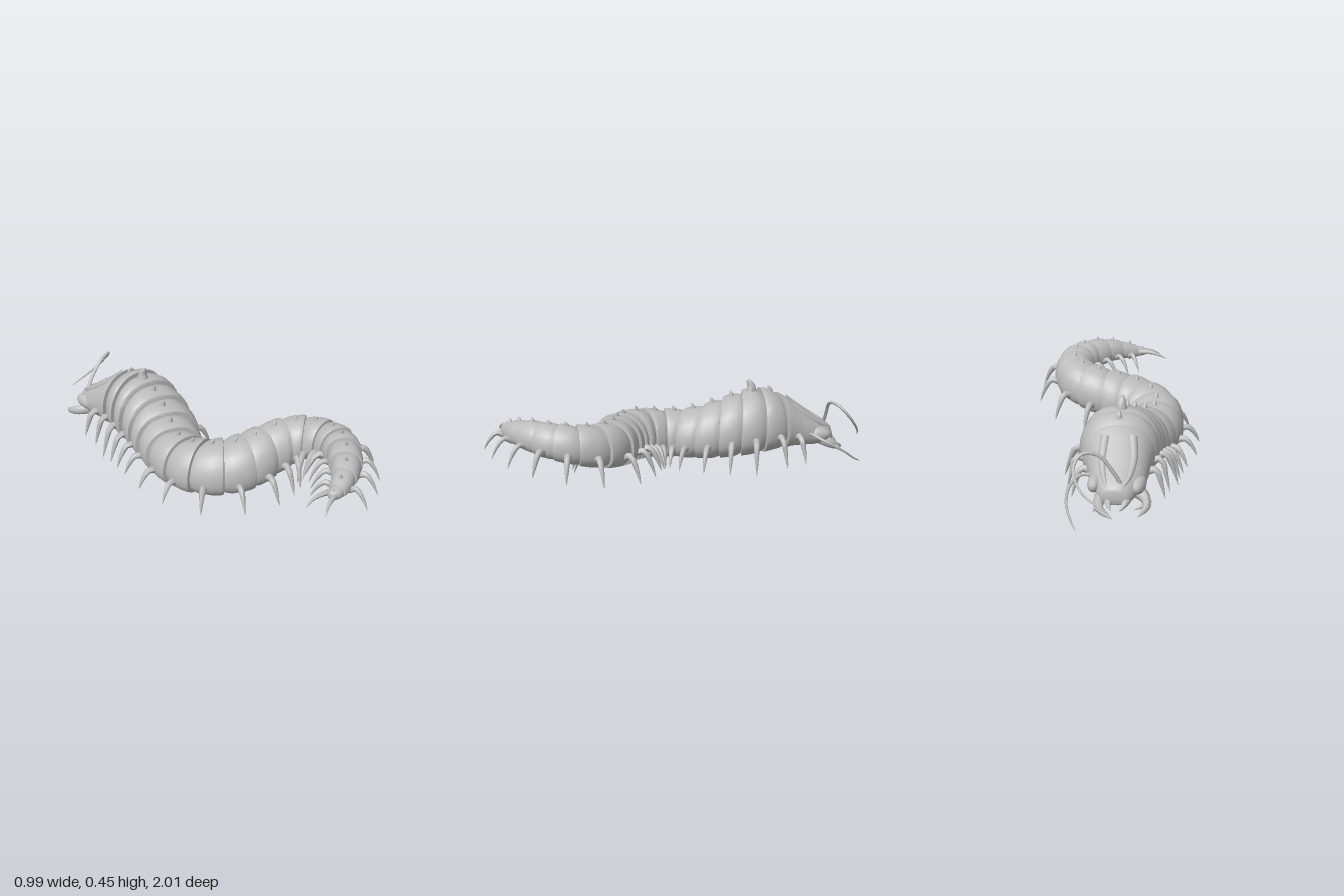
import * as THREE from 'three';
import { toCreasedNormals } from 'three/addons/utils/BufferGeometryUtils.js';

// Body stations from head to tail: [x, z, half width, top y, bottom y]
const STATIONS = [
  [-.21, -.84, .07, .185, .09], [-.2, -.72, .125, .255, .09], [-.18, -.6, .155, .34, .09],
  [-.16, -.5, .18, .39, .08], [-.15, -.4, .195, .4, .06], [-.155, -.3, .19, .37, .045],
  [-.17, -.2, .185, .33, .03], [-.2, -.1, .17, .29, .02], [-.235, 0, .15, .265, .015],
  [-.235, .1, .145, .265, .015], [-.2, .2, .15, .28, .02], [-.12, .28, .15, .29, .03],
  [-.02, .32, .145, .305, .045], [.09, .335, .13, .32, .07], [.2, .365, .125, .335, .1],
  [.28, .43, .115, .345, .13], [.315, .53, .105, .355, .16], [.31, .62, .1, .36, .185],
  [.27, .7, .09, .36, .2], [.2, .785, .08, .35, .215], [.12, .85, .062, .325, .22],
  [.03, .895, .042, .29, .225], [-.03, .91, .02, .27, .235],
];
const LAST = STATIONS.length - 1;
const UP = new THREE.Vector3(0, 1, 0);
const v = (x, y, z) => new THREE.Vector3(x, y, z);
const spine = new THREE.CatmullRomCurve3(STATIONS.map(s => v(s[0], 0, s[1])), false, 'catmullrom', 0.5);
const sizes = new THREE.CatmullRomCurve3(STATIONS.map(s => v(s[2], s[3], s[4])), false, 'catmullrom', 0.5);

// Position, directions and size of the body at station number s
function frame(s) {
  const t = THREE.MathUtils.clamp(s / LAST, 0, 1);
  const tangent = spine.getTangent(t).setY(0).normalize();
  const d = sizes.getPoint(t);
  return {
    centre: spine.getPoint(t), tangent, side: UP.clone().cross(tangent),
    w: d.x, top: d.y, bottom: d.z, h: d.y - d.z,
  };
}

// Point on the skin at angle a, scaled by k about the middle of the section
function skin(f, a, k) {
  const c = Math.cos(a), s = Math.sin(a);
  const mid = f.bottom + f.h * 0.42;
  const across = Math.sign(c) * Math.abs(c) ** 0.85 * f.w * k;
  const rise = s > 0 ? s * (f.top - mid) * k : -(Math.abs(s) ** 0.8) * (mid - f.bottom) * Math.min(k, 1);
  return f.centre.clone().addScaledVector(f.side, across).setY(mid + rise);
}

// Loft from rings given as [station, scale]
function loft(rings, sides = 28) {
  const pos = [], index = [];
  rings.forEach(([s, k], i) => {
    const f = frame(s);
    for (let j = 0; j < sides; j++) {
      pos.push(...skin(f, j / sides * Math.PI * 2, k).toArray());
      if (i === 0) continue;
      const a = (i - 1) * sides + j, b = (i - 1) * sides + (j + 1) % sides;
      index.push(a, b, a + sides, b, b + sides, a + sides);
    }
  });
  const g = new THREE.BufferGeometry();
  g.setAttribute('position', new THREE.Float32BufferAttribute(pos, 3));
  g.setIndex(index);
  return toCreasedNormals(g, 0.75);
}

// Curved tube that narrows to a point
function horn(points, radius, steps = 8, sides = 8, power = 0.7) {
  const curve = new THREE.CatmullRomCurve3(points);
  const g = new THREE.TubeGeometry(curve, steps, radius, sides);
  const p = g.attributes.position, q = v(0, 0, 0);
  for (let i = 0; i < p.count; i++) {
    const t = Math.floor(i / (sides + 1)) / steps;
    const c = curve.getPointAt(t);
    q.fromBufferAttribute(p, i).sub(c).multiplyScalar(Math.max(0.02, (1 - t) ** power)).add(c);
    p.setXYZ(i, q.x, q.y, q.z);
  }
  g.computeVertexNormals();
  return g;
}

export function createModel() {
  const model = new THREE.Group();
  const shell = new THREE.MeshStandardMaterial({ color: 0xbcbcbc });
  shell.name = 'grey shell';
  const add = (name, geometry) => {
    const m = new THREE.Mesh(geometry, shell);
    m.name = name;
    model.add(m);
    return m;
  };

  // Head shield, closed at the snout and flared over the first segment
  add('head', loft([[0, 0], [0, .6], [.05, .85], [.25, 1], [.6, .97], [1, 1.02], [1.5, 1],
    [2, 1.0], [2.35, 1.04], [2.5, 1.03], [2.54, .88]]));
  // Brow ridges and cheeks
  for (const side of [-1, 1]) {
    const ridge = [[.1, 1.1], [.6, 1.0], [1.3, 1.05], [2.1, 1.2]].map(([s, a]) =>
      skin(frame(s), side > 0 ? a : Math.PI - a, .96));
    add('browRidge', horn(ridge.reverse(), .024, 10, 8, .4));
    const cheek = add('cheek', new THREE.SphereGeometry(1, 14, 10));
    cheek.position.copy(skin(frame(.85), side > 0 ? .1 : Math.PI - .1, .86));
    cheek.scale.set(.035, .04, .075);
  }

  // Overlapping body segments
  const START = 2.45, COUNT = 19, STEP = (LAST - START) / COUNT;
  const profile = [[0, .86], [.12, .92], [.35, .99], [.7, 1.03], [1, 1.04], [1.07, 1.02], [1.1, .86]];
  for (let i = 0; i < COUNT; i++) {
    const s0 = START + i * STEP;
    const rings = profile.map(([u, k]) => [s0 + u * STEP, k]);
    if (i === COUNT - 1) rings.splice(4, 3, [LAST, .8], [LAST, 0]);
    add('bodySegment', loft(rings));

    // Back spine, tallest just behind the head
    const f = frame(s0 + .6 * STEP);
    const size = i === 1 ? .065 : i === COUNT - 1 ? .012 : .034 - i * .0007;
    const foot = f.centre.clone().setY(f.top - .012);
    add('backSpine', horn([
      foot, foot.clone().addScaledVector(UP, size * .6),
      foot.clone().addScaledVector(UP, size + .012).addScaledVector(f.tangent, size * .35),
    ], i === 1 ? .032 : size * .55, 6, 8, .6));
  }

  // Walking legs, one pair to each segment
  for (let i = -1; i < COUNT - 1; i++) {
    const f = frame(START + (i + .5) * STEP);
    const back = i < 1 ? -.03 : i > 14 ? .03 : .008;
    const tipY = Math.max(.012, f.bottom - .055);
    const rootY = f.bottom + f.h * .32;
    const reach = i < 1 ? .07 : .092;
    for (const side of [-1, 1]) {
      const at = (out, y, along) => f.centre.clone()
        .addScaledVector(f.side, side * out).addScaledVector(f.tangent, along).setY(y);
      add('leg', horn([
        at(f.w * .78, rootY - .01, 0), at(f.w + .025, rootY + .008, back * .3),
        at(f.w + reach * .7, (rootY + tipY) / 2 + .012, back * .7), at(f.w + reach, tipY, back),
      ], i > 14 ? .017 : .022));
    }
  }

  // Long trailing legs at the tail tip
  add('tailLeg', horn([v(.03, .25, .885), v(-.05, .26, .875), v(-.11, .25, .868), v(-.16, .225, .875)], .018));
  add('tailLeg', horn([v(.02, .25, .905), v(-.03, .255, .925), v(-.08, .24, .945), v(-.115, .21, .965)], .018));

  // Pincers with small inner teeth
  add('pincer', horn([v(-.27, .13, -.7), v(-.335, .11, -.75), v(-.355, .09, -.81), v(-.325, .065, -.87)], .038, 10));
  add('pincer', horn([v(-.17, .13, -.76), v(-.135, .11, -.81), v(-.145, .085, -.86), v(-.215, .06, -.905)], .038, 10));
  add('pincerTooth', horn([v(-.345, .09, -.79), v(-.32, .085, -.81), v(-.3, .075, -.825)], .014));
  add('pincerTooth', horn([v(-.14, .09, -.84), v(-.125, .085, -.865), v(-.12, .075, -.885)], .014));
  // Mouth parts between the pincers
  for (const x of [-.26, -.18])
    add('mouthPart', horn([v(x, .12, -.78), v(x, .11, -.84), v(x + (x < -.2 ? .02 : -.02), .085, -.875)], .028));

  // Two whip-like feelers
  add('feeler', horn([v(-.25, .16, -.8), v(-.2, .25, -.81), v(-.13, .33, -.815), v(-.06, .34, -.845),
    v(-.035, .29, -.9), v(-.08, .21, -.955), v(-.23, .12, -.995)], .01, 28, 6, .4));
  add('feeler', horn([v(-.1, .17, -.7), v(-.03, .18, -.72), v(.012, .15, -.79), v(.005, .1, -.88),
    v(-.03, .05, -.94), v(-.065, .02, -.985)], .01, 24, 6, .4));

  return model;
}
